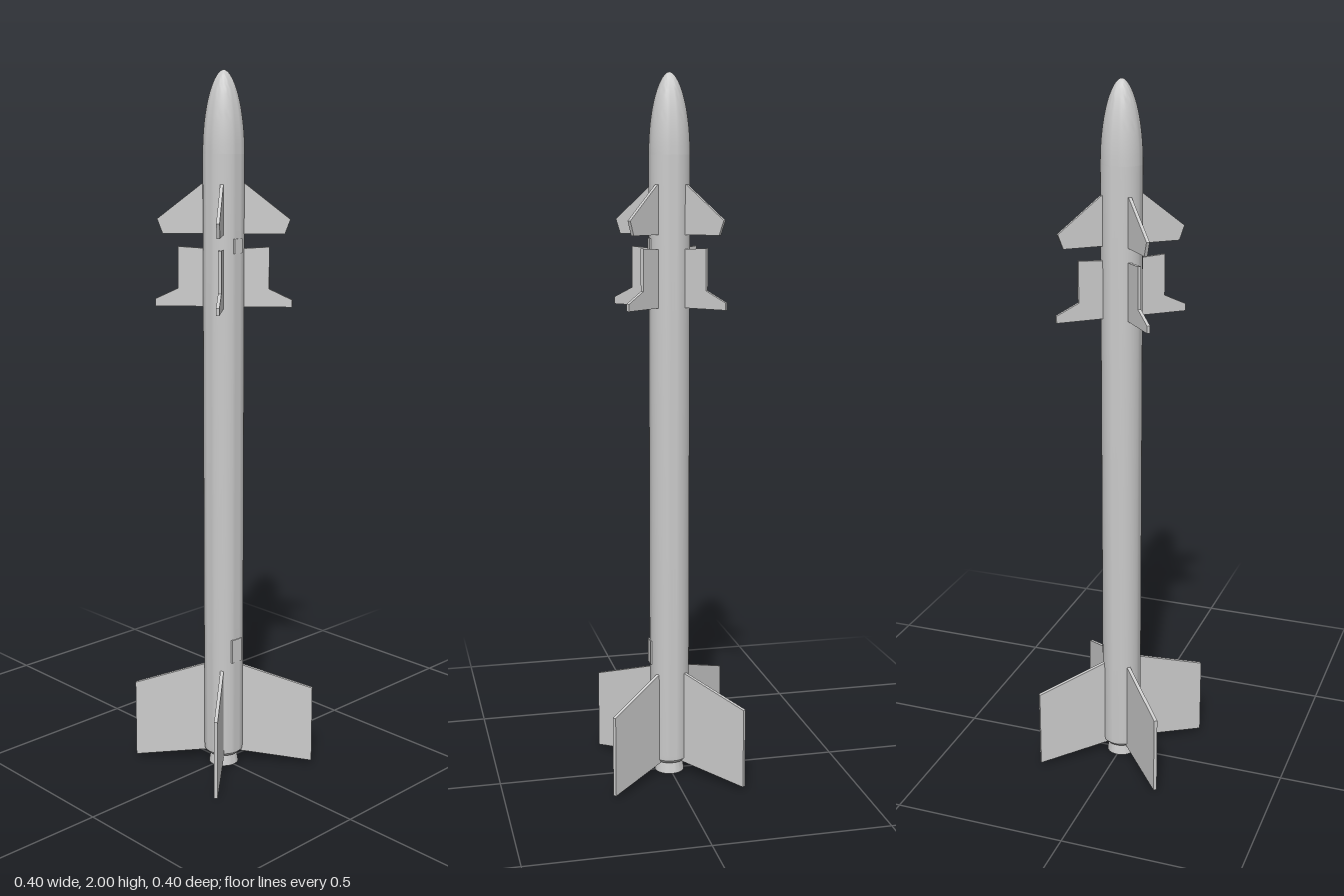
import * as THREE from 'three';
import { toCreasedNormals } from 'three/addons/utils/BufferGeometryUtils.js';

const grey = new THREE.MeshStandardMaterial({ color: 0xcccccc });
const FIN_ANGLE = THREE.MathUtils.degToRad(41.3);

function lathe(name, points, segments = 40) {
  const geo = new THREE.LatheGeometry(points.map(([r, y]) => new THREE.Vector2(r, y)), segments);
  const mesh = new THREE.Mesh(toCreasedNormals(geo, 0.5), grey);
  mesh.name = name;
  return mesh;
}

// Four identical plates around the body; outline is [radius, height]
function finSet(name, outline, thickness) {
  const set = new THREE.Group();
  set.name = name + 's';
  const shape = new THREE.Shape(outline.map(([r, y]) => new THREE.Vector2(r, y)));
  const geo = new THREE.ExtrudeGeometry(shape, { depth: thickness, bevelEnabled: false });
  geo.translate(0, 0, -thickness / 2);
  for (let i = 0; i < 4; i++) {
    const fin = new THREE.Mesh(geo, grey);
    fin.name = name;
    fin.rotation.y = FIN_ANGLE + i * Math.PI / 2;
    set.add(fin);
  }
  return set;
}

function lug(name, y0, y1, width, z) {
  const mesh = new THREE.Mesh(new THREE.BoxGeometry(0.012, y1 - y0, width), grey);
  mesh.position.set(0.053, (y0 + y1) / 2, z);
  mesh.name = name;
  return mesh;
}

export function createModel() {
  const model = new THREE.Group();
  model.name = 'missile';

  // Body tube with a chamfered tail
  model.add(lathe('body', [[0, 0.035], [0.047, 0.035], [0.056, 0.045], [0.057, 0.06], [0.057, 1.78]]));

  // Rounded ogive nose
  const nose = [];
  for (let i = 0; i <= 16; i++) {
    const a = (i / 16) * Math.PI / 2;
    nose.push([0.057 * Math.pow(Math.cos(a), 1.1), 1.78 + 0.22 * Math.sin(a)]);
  }
  nose[16][0] = 0;
  model.add(lathe('nose', nose));

  // Hollow exhaust nozzle
  model.add(lathe('nozzle', [[0, 0.03], [0.026, 0.03], [0.033, 0], [0.043, 0], [0.037, 0.036]]));

  // Fins, from tail to nose
  model.add(finSet('tailFin', [[0.045, 0.035], [0.262, 0.01], [0.262, 0.24], [0.045, 0.31]], 0.01));
  model.add(finSet('steeringFin', [
    [0.045, 1.365], [0.19, 1.365], [0.19, 1.385], [0.126, 1.415], [0.126, 1.53], [0.045, 1.525],
  ], 0.009));
  model.add(finSet('canard', [[0.045, 1.565], [0.168, 1.565], [0.183, 1.605], [0.06, 1.7], [0.045, 1.7]], 0.009));

  // Small mounting lugs on one flank
  model.add(lug('lowerLug', 0.33, 0.4, 0.036, 0.003));
  model.add(lug('upperLug', 1.515, 1.555, 0.03, 0));

  return model;
}
